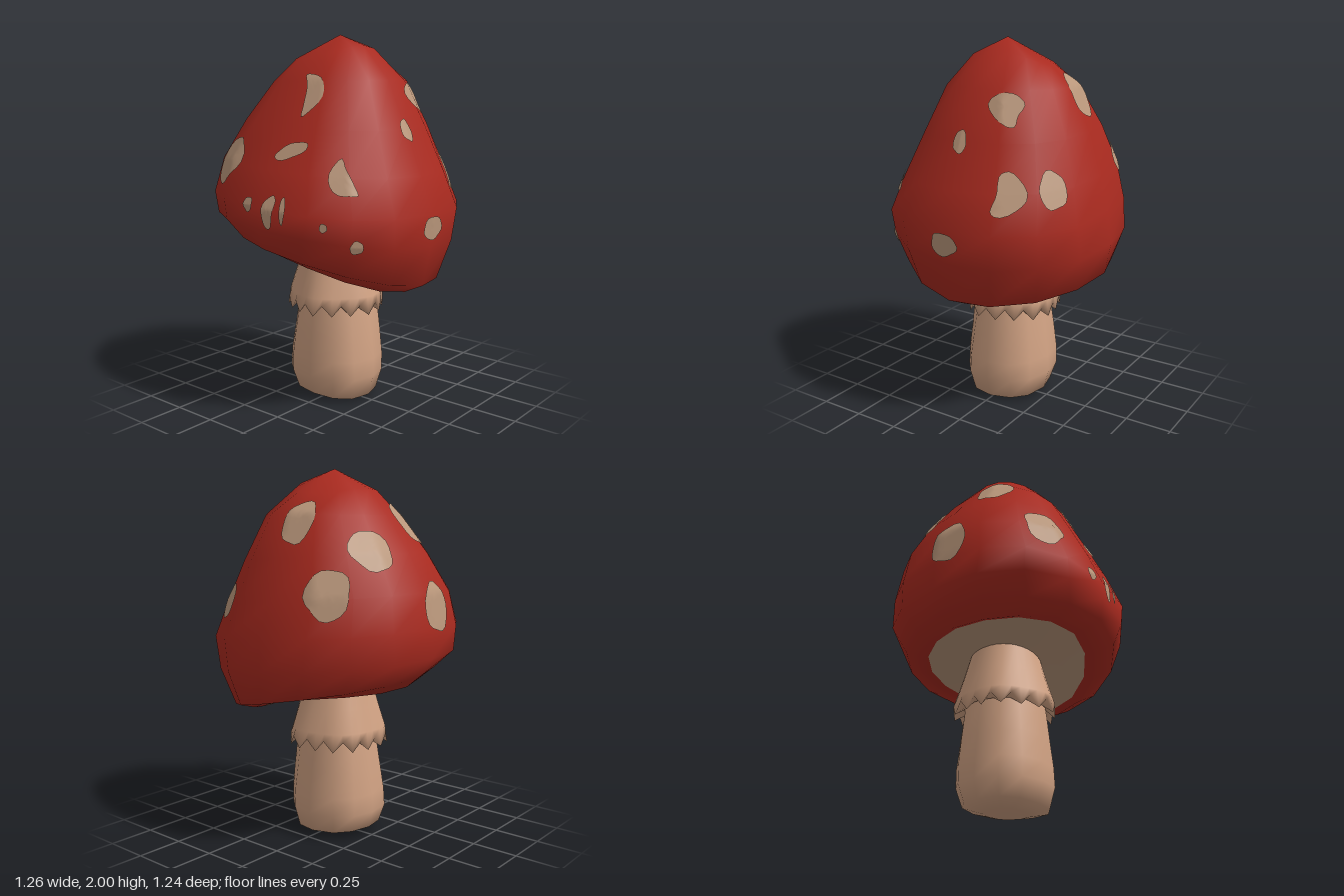
import * as THREE from 'three';
import { mergeVertices } from 'three/addons/utils/BufferGeometryUtils.js';

const V = (x, y, z) => new THREE.Vector3(x, y, z);

// Joins closed rings of points (listed inside-out or bottom-up) into a smooth skin
function loft(rings) {
  const n = rings[0].length, index = [];
  for (let i = 0; i < rings.length - 1; i++)
    for (let j = 0; j < n; j++) {
      const a = i * n + j, b = i * n + (j + 1) % n;
      index.push(a, a + n, b, b, a + n, b + n);
    }
  let g = new THREE.BufferGeometry().setFromPoints(rings.flat());
  g.setIndex(index);
  g = mergeVertices(g, 1e-5);
  g.computeVertexNormals();
  return g;
}

const ring = (n, fn) => Array.from({ length: n }, (_, j) => fn((j / n) * Math.PI * 2, j));

// Signed power: below 1 squares a circle, above 1 narrows its diagonals
const soft = (v, power) => Math.sign(v) * Math.pow(Math.abs(v), power);

// Cap ring: left and right edge points, front and back depth, forward tilt, bow along z, corner power
function capRing([xl, yl, xr, yr, front, back, tilt, bow, power]) {
  const cx = (xl + xr) / 2, rx = (xr - xl) / 2;
  return ring(16, (t) => {
    const c = soft(Math.cos(t), power), s = soft(Math.sin(t), power);
    const swell = 1 + 0.45 * (1 - power) * Math.max(0, -c * s);
    const z = swell * s * (s > 0 ? front : back);
    return V(cx + swell * rx * c, (yl + yr) / 2 + ((yr - yl) / 2) * c + tilt * z + bow * z * z, z);
  });
}

export function createModel() {
  const red = new THREE.MeshStandardMaterial({ color: 0xa92a1f });
  red.name = 'capRed';
  const cream = new THREE.MeshStandardMaterial({ color: 0xd1a283, side: THREE.DoubleSide });
  cream.name = 'stemCream';
  const pale = new THREE.MeshStandardMaterial({ color: 0xba977b });
  pale.name = 'spotBeige';

  const model = new THREE.Group();
  model.name = 'mushroom';
  const add = (name, geometry, material, parent = model) => {
    const m = new THREE.Mesh(geometry, material);
    m.name = name;
    parent.add(m);
    return m;
  };

  // Cap, from the lip up to the tip
  const lip = [-0.44, 0.875, 0.41, 0.675, 0.44, 0.45, 0.09, 0.33, 1.06];
  const cap = add('cap', loft([
    lip,
    [-0.47, 0.865, 0.46, 0.66, 0.48, 0.49, 0.08, 0.33, 1.06],
    [-0.55, 0.93, 0.57, 0.71, 0.59, 0.595, 0.1, 0.13, 1.06],
    [-0.625, 1.03, 0.615, 0.92, 0.618, 0.62, 0.05, 0.06, 0.92],
    [-0.615, 1.18, 0.625, 1.09, 0.612, 0.6, 0, 0, 0.85],
    [-0.585, 1.36, 0.55, 1.28, 0.54, 0.55, 0, 0, 0.85],
    [-0.47, 1.56, 0.45, 1.51, 0.43, 0.475, 0, 0, 0.85],
    [-0.33, 1.75, 0.34, 1.76, 0.31, 0.37, 0, 0, 0.87],
    [-0.21, 1.89, 0.18, 1.94, 0.2, 0.24, 0, -0.95, 0.9],
    [0.02, 2, 0.02, 2, 0, 0, 0, 0, 1],
  ].map(capRing)), red);

  // Shallow hollow under the cap
  add('capUnderside', loft([
    [0, 0.84, 0, 0.84, 0, 0, 0, 0, 1],
    [-0.25, 0.865, 0.23, 0.75, 0.25, 0.25, 0.08, 0.2, 1],
    lip,
  ].map(capRing)), pale);

  // Stem: [radius, height], gently lumpy with a slanted foot
  const stemProfile = [[0, 0.015], [0.12, 0.018], [0.225, 0.045], [0.258, 0.14], [0.255, 0.24],
    [0.238, 0.38], [0.22, 0.52], [0.19, 0.7], [0.165, 0.9]];
  add('stem', loft(stemProfile.map(([r, y]) => ring(12, (t) => {
    const lump = r * (1 + 0.025 * Math.sin(3 * t + 5 * y));
    const x = lump * soft(Math.cos(t), 0.86) - 0.01;
    const z = lump * 0.93 * soft(Math.sin(t), 0.86) - 0.01;
    return V(x, Math.max(0, y - (y < 0.1 ? 0.012 + 0.05 * x : 0)), z);
  }))), cream);

  // Skirt: a turned-in lining, a toothed hem and the cone above it
  const teeth = 16;
  const skirtRing = (r, y, fold, drop) => ring(teeth * 2, (t, j) => {
    const k = r + fold * Math.sin(5 * t + 1);
    return V(k * Math.cos(t) - 0.015, y - (j % 2) * drop, k * Math.sin(t) - 0.012);
  });
  add('skirt', loft([
    skirtRing(0.215, 0.55, 0, 0),
    skirtRing(0.267, 0.562, 0.009, 0.058),
    skirtRing(0.255, 0.6, 0.009, 0),
    skirtRing(0.22, 0.72, 0.006, 0),
    skirtRing(0.18, 0.88, 0, 0),
  ]), cream);

  // Spots: x, y, z, width, height, turn, bend
  const spots = [
    [-0.31, 1.33, 0.46, 0.22, 0.27, -0.25, 0],
    [-0.33, 1.7, 0.16, 0.2, 0.25, 0, 0],
    [0.12, 1.69, 0.32, 0.1, 0.2, 0.05, -0.22],
    [0.1, 1.415, 0.48, 0.19, 0.075, 0.35, 0],
    [0.385, 1.29, 0.45, 0.11, 0.2, 0.4, 0.18],
    [-0.08, 1.14, 0.58, 0.065, 0.075, 0, 0],
    [0.05, 1.12, 0.59, 0.07, 0.17, -0.1, 0.1],
    [0.135, 1.13, 0.58, 0.033, 0.14, 0, 0],
    [0.34, 1.06, 0.52, 0.04, 0.045, 0, 0],
    [0.475, 0.965, 0.43, 0.07, 0.07, 0, 0],
    [-0.58, 1.28, 0.07, 0.21, 0.25, 0, 0],
    [0.45, 1.5, 0, 0.08, 0.11, 0.2, 0],
    [0.36, 1.69, -0.2, 0.17, 0.14, -0.4, 0.3],
    [0.5, 1.285, -0.33, 0.15, 0.23, -0.3, -0.2],
    [0.61, 1.02, -0.01, 0.16, 0.12, 0, 0],
    [0.37, 1.32, -0.5, 0.15, 0.19, 0, 0],
    [-0.06, 1.68, -0.355, 0.18, 0.23, -0.15, 0],
    [-0.4, 1.56, -0.23, 0.24, 0.22, -0.3, 0],
    [-0.32, 1.36, -0.46, 0.23, 0.25, 0, 0],
  ];
  const spotGroup = new THREE.Group();
  spotGroup.name = 'spots';
  model.add(spotGroup);
  const ray = new THREE.Raycaster();
  const heart = V(0, 0.95, 0);
  spots.forEach(([x, y, z, w, h, turn, bend], i) => {
    const p = V(x, y, z);
    const n = p.clone().sub(heart).normalize();
    const right = V(0, 1, 0).cross(n).normalize();
    const up = n.clone().cross(right);
    // Drops each point of the disc on to the cap skin
    const drop = (a, b) => {
      const q = p.clone().addScaledVector(right, a).addScaledVector(up, b);
      ray.set(q.clone().addScaledVector(n, 0.6), n.clone().negate());
      const hit = ray.intersectObject(cap)[0];
      return (hit ? hit.point : q).addScaledVector(n, 0.008);
    };
    const rings = [0, 0.25, 0.5, 0.75, 1].map((k) => ring(20, (t) => {
      const r = (k / 2) * (1 + 0.05 * Math.sin(3 * t + i) + 0.04 * Math.sin(5 * t + 2 * i));
      const v = r * h * Math.sin(t);
      const u = r * w * Math.cos(t) + (bend * 4 * v * v) / h;
      return drop(u * Math.cos(turn) - v * Math.sin(turn), u * Math.sin(turn) + v * Math.cos(turn));
    }));
    add('spot', loft(rings), pale, spotGroup);
  });

  return model;
}
